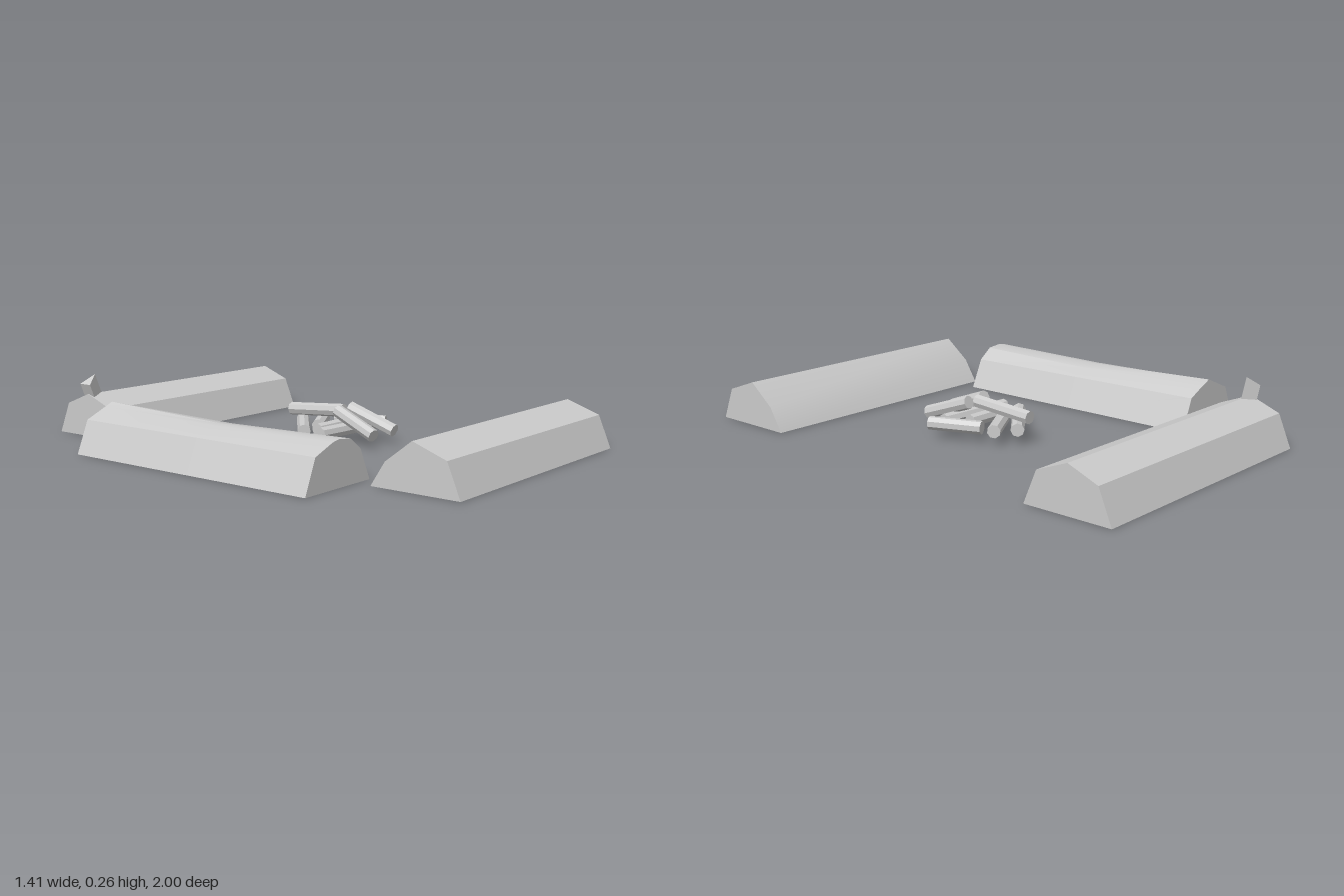
import * as THREE from 'three';
import { toCreasedNormals } from 'three/addons/utils/BufferGeometryUtils.js';
import { ConvexGeometry } from 'three/addons/geometries/ConvexGeometry.js';

const V = (x, y, z) => new THREE.Vector3(x, y, z);
const grey = new THREE.MeshStandardMaterial({ color: 0xcccccc, side: THREE.DoubleSide });
const flat = new THREE.MeshStandardMaterial({ color: 0xcccccc, flatShading: true });

// Joins cross-sections into a shell with capped ends and an open underside
function loft(sections) {
  const n = sections[0].length, last = (sections.length - 1) * n, index = [];
  for (let s = 0; s < sections.length - 1; s++) {
    for (let i = 0; i < n - 1; i++) {
      const a = s * n + i, b = a + n;
      index.push(a, b, b + 1, a, b + 1, a + 1);
    }
  }
  for (let i = 1; i < n - 1; i++) {
    index.push(0, i, i + 1, last, last + i + 1, last + i);
  }
  const geo = new THREE.BufferGeometry().setFromPoints(sections.flat());
  geo.setIndex(index);
  return toCreasedNormals(geo, 0.35);
}

export function createModel() {
  const model = new THREE.Group();
  const add = (name, geo, material) => {
    const mesh = new THREE.Mesh(geo, material);
    mesh.name = name;
    model.add(mesh);
    return mesh;
  };

  // Straight split logs, profiles as [z, y]
  const straight = {
    frontLog: [[1, 0], [0.945, 0.13], [0.805, 0.18], [0.695, 0.095], [0.635, 0]],
    backLog: [[-0.635, 0], [-0.69, 0.13], [-0.82, 0.18], [-0.945, 0.13], [-1, 0]],
  };
  for (const [name, profile] of Object.entries(straight)) {
    add(name, loft([-0.43, 0.705].map(x => profile.map(([z, y]) => V(x, y, z)))), grey);
  }

  // Worn side log: sharp ridge at the back, rounded at the front
  const xs = [-0.71, -0.655, -0.56, -0.525, -0.46, -0.4, -0.345];
  const worn = [
    [-0.57, [0, 0.13, 0.17, 0.185, 0.158, 0.13, 0]],
    [0.02, [0, 0.13, 0.16, 0.164, 0.155, 0.125, 0]],
    [0.57, [0, 0.13, 0.166, 0.172, 0.165, 0.12, 0]],
  ];
  add('sideLog', loft(worn.map(([z, ys]) => ys.map((y, i) => V(xs[i], y, z)))), grey);

  // Broken branch stub, a leaning three-sided prism
  const top = [V(-0.445, 0.222, -0.85), V(-0.445, 0.222, -0.79), V(-0.39, 0.26, -0.82)];
  const foot = top.map(p => p.clone().add(V(0.045, -0.11, 0)));
  add('branchStub', new ConvexGeometry([...top, ...foot]), flat);

  // Pile of firewood sticks, given by their two ends
  const sticks = [
    [V(-0.02, 0.06, 0.01), V(0.215, 0.06, -0.185)],
    [V(0.11, 0.06, -0.02), V(0.29, 0.06, -0.13)],
    [V(0.28, 0.06, -0.06), V(0.36, 0.06, 0.145)],
    [V(0.03, 0.06, 0.04), V(0.24, 0.06, 0.04)],
    [V(-0.03, 0.06, 0.1), V(0.3, 0.06, 0.125)],
    [V(0.125, 0.13, 0.07), V(0.09, 0.055, 0.275)],
    [V(0.225, 0.13, 0.06), V(0.235, 0.055, 0.275)],
    [V(0.172, 0.125, 0.065), V(0.172, 0.105, -0.21)],
  ];
  sticks.forEach(([a, b], i) => {
    const dir = b.clone().sub(a);
    const geo = new THREE.CylinderGeometry(0.027, 0.027, dir.length(), 8);
    const stick = add('stick' + (i + 1), geo, flat);
    stick.position.copy(a).lerp(b, 0.5);
    stick.quaternion.setFromUnitVectors(V(0, 1, 0), dir.normalize());
  });

  return model;
}
